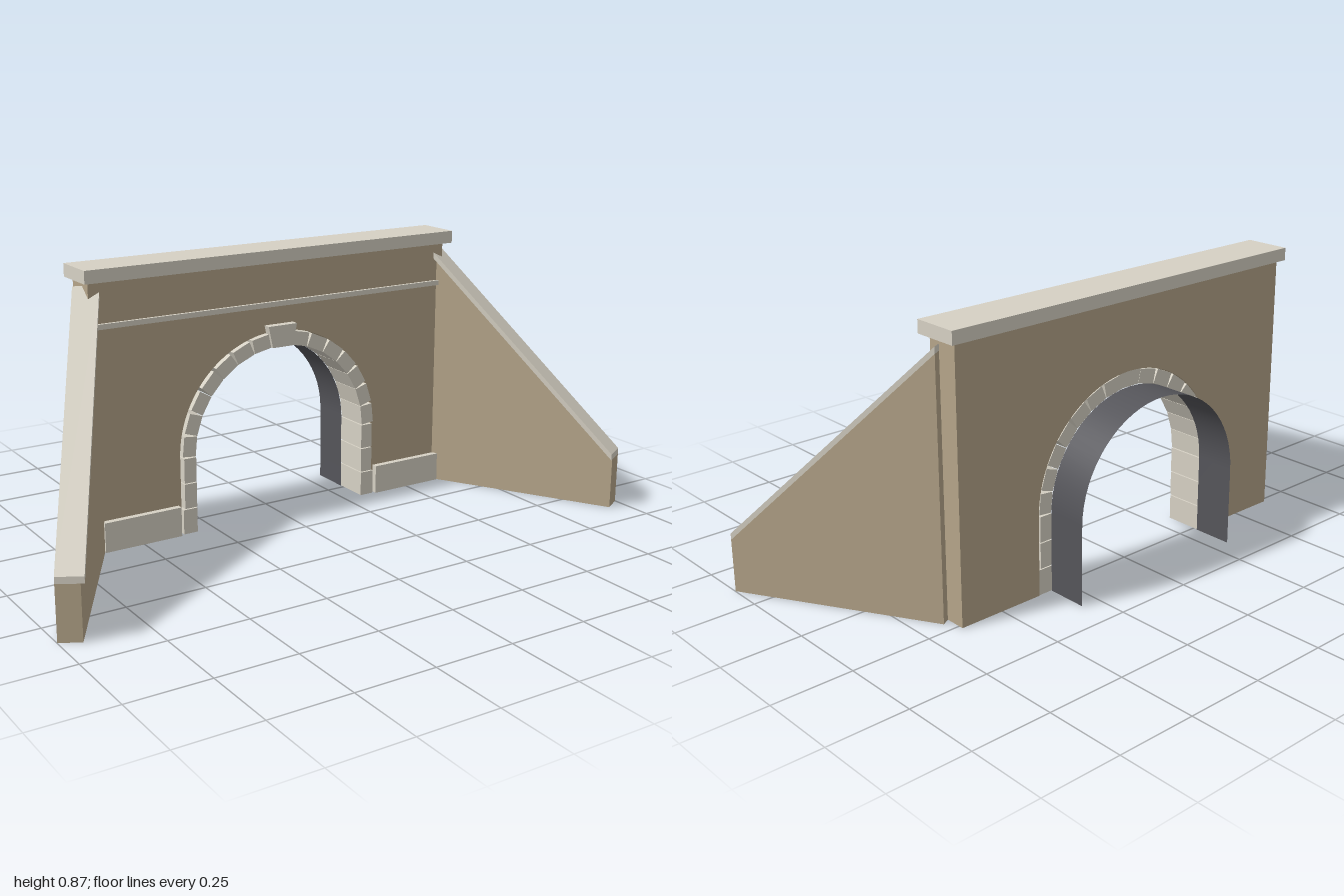
import * as THREE from 'three';

export function createModel() {
  const model = new THREE.Group();
  model.name = 'tunnelPortal';

  const mat = (name, color, side = THREE.FrontSide) => {
    const m = new THREE.MeshStandardMaterial({ color, side });
    m.name = name;
    return m;
  };
  const masonry = mat('tan masonry', 0xb5a58a);
  const stone = mat('pale stone', 0xd6d1c4);
  const dark = mat('dark lining', 0x55555a, THREE.DoubleSide);

  const add = (name, geometry, material, parent = model) => {
    const mesh = new THREE.Mesh(geometry, material);
    mesh.name = name;
    parent.add(mesh);
    return mesh;
  };
  // Box given by its limits on each axis
  const box = (name, x0, x1, y0, y1, z0, z1, material, parent) => {
    const mesh = add(name, new THREE.BoxGeometry(x1 - x0, y1 - y0, z1 - z0), material, parent);
    mesh.position.set((x0 + x1) / 2, (y0 + y1) / 2, (z0 + z1) / 2);
    return mesh;
  };

  const SPRING = 0.25, RADIUS = 0.312, OPENING = 0.36;
  const BACK = -0.265, FRONT = -0.16;

  // Head wall with arched opening
  const wall = new THREE.Shape();
  wall.moveTo(-0.645, 0);
  wall.lineTo(-OPENING, 0);
  wall.lineTo(-OPENING, SPRING);
  wall.absarc(0, SPRING, OPENING, Math.PI, 0, true);
  wall.lineTo(OPENING, 0);
  wall.lineTo(0.645, 0);
  wall.lineTo(0.645, 0.835);
  wall.lineTo(-0.645, 0.835);
  wall.closePath();
  const wallGeo = new THREE.ExtrudeGeometry(wall, { depth: FRONT - BACK, bevelEnabled: false, curveSegments: 32 });
  wallGeo.translate(0, 0, BACK);
  add('headWall', wallGeo, masonry);

  // Parapet cap, string course and plinths
  box('parapetCap', -0.665, 0.665, 0.832, 0.872, -0.282, -0.135, stone);
  box('stringCourse', -0.625, 0.625, 0.69, 0.706, -0.25, -0.15, stone);
  for (const s of [-1, 1]) {
    const a = s * 0.37, b = s * 0.63;
    box('plinth', Math.min(a, b), Math.max(a, b), 0, 0.095, -0.262, -0.14, stone);
  }

  // Arch ring: jamb blocks, straight-sided arch stones and keystone
  const ring = new THREE.Group();
  ring.name = 'archRing';
  model.add(ring);
  const ringDepth = -0.145 - BACK, ringZ = (BACK - 0.145) / 2;
  for (const s of [-1, 1]) {
    for (let i = 0; i < 3; i++) {
      const width = i === 0 ? 0.048 : 0.042;
      const block = add('jambBlock', new THREE.BoxGeometry(width, 0.08, ringDepth), stone, ring);
      block.position.set(s * (RADIUS + width / 2), 0.0415 + i * 0.0833, ringZ);
    }
  }
  const COUNT = 15;
  for (let i = 0; i < COUNT; i++) {
    if (i === (COUNT - 1) / 2) continue;
    const angle = (i + 0.5) * Math.PI / COUNT;
    const block = add('archStone', new THREE.BoxGeometry(0.045, 0.064, ringDepth), stone, ring);
    block.position.set(Math.cos(angle) * 0.3345, SPRING + Math.sin(angle) * 0.3345, ringZ);
    block.rotation.z = angle;
  }
  const key = new THREE.Shape([[-0.037, 0.562], [0.037, 0.562], [0.052, 0.632], [-0.052, 0.632]]
    .map(([x, y]) => new THREE.Vector2(x, y)));
  const keyGeo = new THREE.ExtrudeGeometry(key, { depth: 0.13, bevelEnabled: false });
  keyGeo.translate(0, 0, BACK + 0.001);
  add('keystone', keyGeo, stone, ring);

  // Barrel lining: an open arched shell behind the wall
  const section = [new THREE.Vector2(-RADIUS, 0)];
  for (let i = 0; i <= 32; i++) {
    const a = Math.PI * (1 - i / 32);
    section.push(new THREE.Vector2(Math.cos(a) * RADIUS, SPRING + Math.sin(a) * RADIUS));
  }
  section.push(new THREE.Vector2(RADIUS, 0));
  const lining = new THREE.PlaneGeometry(1, 1, section.length - 1, 1);
  const pos = lining.attributes.position;
  for (let i = 0; i < pos.count; i++) {
    const p = section[i % section.length];
    pos.setXYZ(i, p.x, p.y, i < section.length ? -0.395 : BACK);
  }
  lining.computeVertexNormals();
  add('barrelLining', lining, dark);

  // Splayed wing walls with sloping copings, flush on the outer face
  const LENGTH = 0.658;
  const profile = (bottomStart, bottomEnd, topStart, topEnd) => new THREE.Shape([
    new THREE.Vector2(0, bottomStart), new THREE.Vector2(LENGTH, bottomEnd),
    new THREE.Vector2(LENGTH, topEnd), new THREE.Vector2(0, topStart)]);
  for (const s of [-1, 1]) {
    const wing = new THREE.Group();
    wing.name = s > 0 ? 'leftWing' : 'rightWing';
    model.add(wing);
    const along = new THREE.Vector3(s * 0.5, 0, 0.866);
    const up = new THREE.Vector3(0, 1, 0);
    const across = new THREE.Vector3().crossVectors(along, up);
    const place = new THREE.Matrix4().makeBasis(along, up, across).setPosition(s * 0.67, 0, -0.213);
    const slab = (name, shape, width, material) => {
      const g = new THREE.ExtrudeGeometry(shape, { depth: width, bevelEnabled: false });
      if (s < 0) g.translate(0, 0, -width);
      g.applyMatrix4(place);
      add(name, g, material, wing);
    };
    slab('wingWall', profile(0, 0, 0.795, 0.166), 0.068, masonry);
    slab('wingCoping', profile(0.795, 0.166, 0.815, 0.186), 0.079, stone);
  }
  return model;
}
